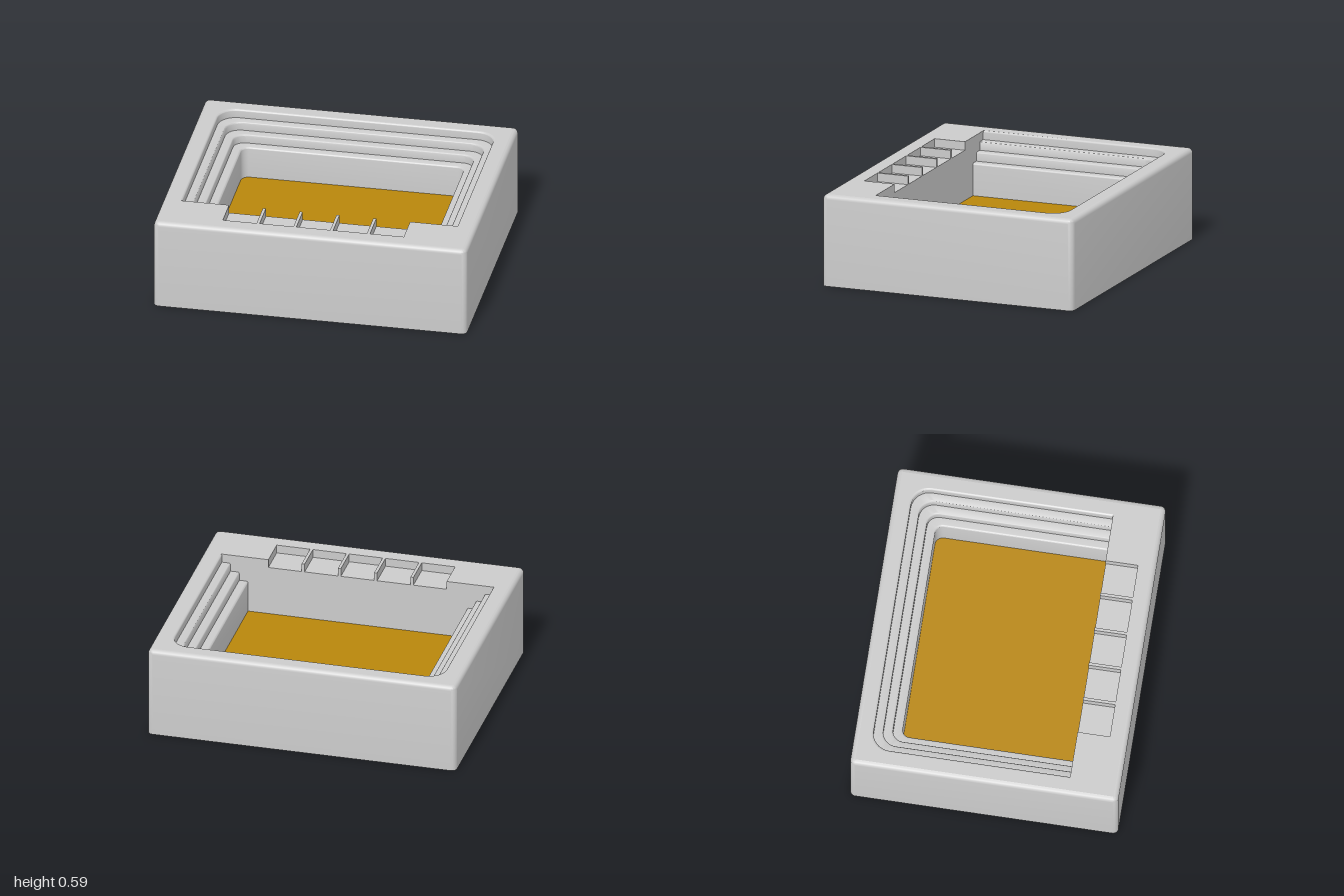
import * as THREE from 'three';
import { mergeGeometries, toCreasedNormals } from 'three/addons/utils/BufferGeometryUtils.js';

const TOP = 0.59, FLOOR = 0.21, FRONT = 0.53, SLOT_BACK = 0.735, SLOT_FLOOR = 0.535;
const slots = [-2, -1, 0, 1, 2].map(i => [i * 0.235 - 0.108, i * 0.235 + 0.108]);

// quarter turn number q (0 = right back, counting towards the left), as [x, z] points
function corner(cx, cz, r, q, n = 8) {
  return Array.from({ length: n + 1 }, (_, i) => {
    const a = (q + i / n) * Math.PI / 2;
    return [cx + r * Math.cos(a), cz - r * Math.sin(a)];
  });
}

// closed outline of the block, pulled in by d
function blockOutline(d) {
  const r = 0.035 - d, x = 0.965, z = 0.815;
  return [...corner(x, -z, r, 0), ...corner(-x, -z, r, 1), ...corner(-x, z, r, 2), ...corner(x, z, r, 3)];
}

// U-shaped outline of the pit, open at the straight front wall
function pitOutline(d) {
  const w = 0.885 - d, b = -0.74 + d, r = 0.12 - 0.4 * d;
  return [[w, FRONT], ...corner(w - r, b + r, r, 0), ...corner(-w + r, b + r, r, 1), [-w, FRONT]];
}

// surface through rows of [x, z] points at given heights
function loft(rows, closed = false) {
  const n = rows[0].pts.length, pos = [], idx = [];
  rows.forEach(({ pts, y }) => pts.forEach(([x, z]) => pos.push(x, y, z)));
  for (let j = 0; j < rows.length - 1; j++) {
    for (let i = 0; i < (closed ? n : n - 1); i++) {
      const a = j * n + i, b = j * n + (i + 1) % n;
      idx.push(a, b, a + n, b, b + n, a + n);
    }
  }
  const g = new THREE.BufferGeometry();
  g.setAttribute('position', new THREE.Float32BufferAttribute(pos, 3));
  g.setIndex(idx);
  return toCreasedNormals(g, 0.6);
}

const shapeOf = pts => new THREE.Shape(pts.map(([x, y]) => new THREE.Vector2(x, y)));
const flip = pts => pts.map(([x, z]) => [x, -z]);

export function createModel() {
  const group = new THREE.Group();
  const grey = new THREE.MeshStandardMaterial({ color: 0xcccccc });
  const gold = new THREE.MeshStandardMaterial({ color: 0xb8860b });
  const add = (name, geometry, material = grey) => {
    const mesh = new THREE.Mesh(geometry, material);
    mesh.name = name;
    group.add(mesh);
  };

  // outer walls with a rounded top edge
  const R = 0.03, outer = [{ pts: blockOutline(0), y: 0 }];
  for (let i = 0; i <= 5; i++) {
    const a = i / 5 * Math.PI / 2;
    outer.push({ pts: blockOutline(R * (1 - Math.cos(a))), y: TOP - R + R * Math.sin(a) });
  }
  add('outerWalls', loft(outer, true));
  add('underside', new THREE.ShapeGeometry(shapeOf(blockOutline(0))).rotateX(Math.PI / 2));

  // stepped pit profile as [inset, height], each step with a rounded nose
  const r = 0.012, profile = [];
  [[0.006, TOP], [0.062, 0.533], [0.119, 0.477], [0.175, 0.42]].forEach(([d, y], k, all) => {
    for (let i = 0; i <= 4; i++) {
      const a = i / 4 * Math.PI / 2;
      profile.push([d - r + r * Math.sin(a), y - r + r * Math.cos(a)]);
    }
    profile.push([d, k < 3 ? all[k + 1][1] : FLOOR - 0.01]);
  });
  add('pitSteps', loft(profile.map(([d, y]) => ({ pts: pitOutline(d), y }))));

  // top face, cut out for the pit and the front slots
  const rim = shapeOf(flip(blockOutline(R)));
  const cut = [...pitOutline(profile[0][0])];
  slots.forEach(([a, b]) => cut.push([a, FRONT], [a, SLOT_BACK], [b, SLOT_BACK], [b, FRONT]));
  rim.holes.push(shapeOf(flip(cut)));
  add('topRim', new THREE.ShapeGeometry(rim).rotateX(-Math.PI / 2).translate(0, TOP, 0));

  // straight front wall of the pit, notched by the slots
  const side = profile.map(([d, y]) => [0.885 - d, y]);
  const wall = [...side, ...side.map(([x, y]) => [-x, y]).reverse()];
  slots.forEach(([a, b]) => wall.push([a, TOP], [a, SLOT_FLOOR], [b, SLOT_FLOOR], [b, TOP]));
  add('pitFrontWall', new THREE.ShapeGeometry(shapeOf(wall)).rotateY(Math.PI).translate(0, 0, FRONT));

  // five shallow slots in the front rim
  slots.forEach(([a, b]) => {
    const pts = [[a, FRONT], [a, SLOT_BACK], [b, SLOT_BACK], [b, FRONT]];
    const base = new THREE.PlaneGeometry(b - a, SLOT_BACK - FRONT).rotateX(-Math.PI / 2)
      .translate((a + b) / 2, SLOT_FLOOR, (FRONT + SLOT_BACK) / 2).toNonIndexed();
    base.deleteAttribute('uv');
    add('frontSlot', mergeGeometries([loft([{ pts, y: TOP }, { pts, y: SLOT_FLOOR }]), base]));
  });

  // coloured slab filling the bottom of the pit
  add('pitFloor', new THREE.ExtrudeGeometry(shapeOf(flip(pitOutline(0.175))),
    { depth: FLOOR - 0.003, bevelEnabled: false }).rotateX(-Math.PI / 2).translate(0, 0.003, 0), gold);

  return group;
}
